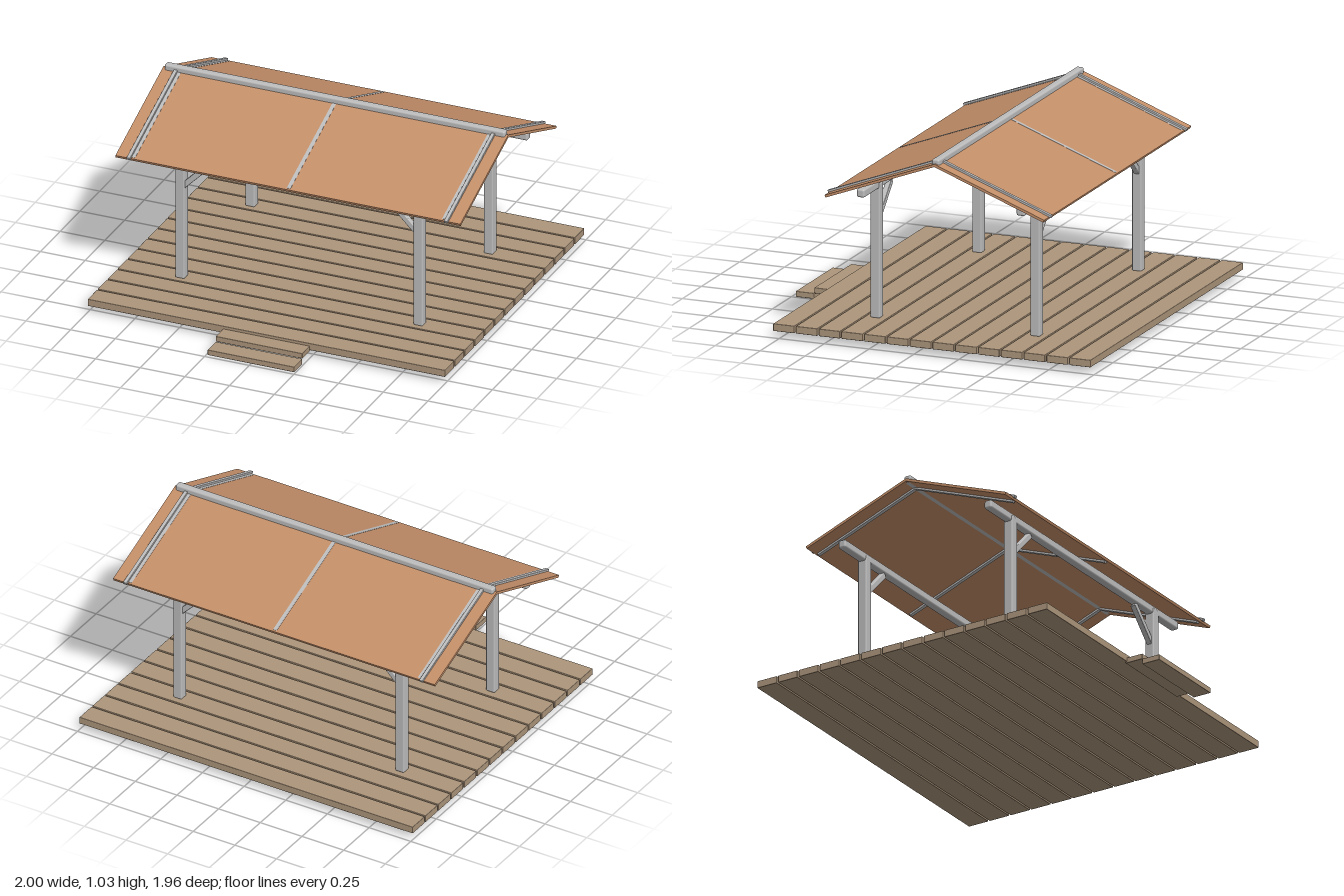
import * as THREE from 'three';
import { RoundedBoxGeometry } from 'three/addons/geometries/RoundedBoxGeometry.js';

const deckWood = new THREE.MeshStandardMaterial({ name: 'deckWood', color: 0xad967c });
const roofPanel = new THREE.MeshStandardMaterial({ name: 'roofPanel', color: 0xc48f69 });
const greyTimber = new THREE.MeshStandardMaterial({ name: 'greyTimber', color: 0xbdbdbd });

// Box with softened edges; plain box when r is 0
function block(parent, name, mat, size, pos, r = 0) {
  const geo = r ? new RoundedBoxGeometry(...size, 2, r) : new THREE.BoxGeometry(...size);
  const mesh = new THREE.Mesh(geo, mat);
  mesh.name = name;
  mesh.position.set(...pos);
  parent.add(mesh);
  return mesh;
}

const RIDGE_Z = -0.098;
const APEX_Y = 1.012;
const PITCH = Math.atan(0.378);

// One roof slope, built flat: y = 0 is the panel top, z runs from ridge to eave
function roofSlope(name) {
  const slope = new THREE.Group();
  slope.name = name;
  const length = 0.61 / Math.cos(PITCH);
  const layer = (part, mat, x, width, top, bottom, end, r) =>
    block(slope, part, mat, [width, top - bottom, end], [x, (top + bottom) / 2, end / 2], r);

  layer('panel', roofPanel, 0, 1.93, 0, -0.014, length);
  // Rafters show as thin lines through the panel and stand proud below
  for (const x of [-0.869, 0, 0.869]) layer('rafter', greyTimber, x, 0.021, 0.0012, -0.024, length - 0.01);
  // Raised battens near the gable ends
  for (const x of [-0.888, 0.888]) layer('batten', greyTimber, x, 0.021, 0.011, -0.004, length + 0.01, 0.003);
  return slope;
}

export function createModel() {
  const model = new THREE.Group();
  model.name = 'pavilion';

  // Deck planks
  const deck = new THREE.Group();
  deck.name = 'deck';
  for (let i = 0; i < 14; i++) {
    block(deck, 'plank', deckWood, [2, 0.039, 0.118], [0, 0.0565, 0.725 - i * 0.1267], 0.003);
  }
  model.add(deck);

  // Front steps
  block(model, 'lowerStep', deckWood, [0.485, 0.03, 0.103], [0, 0.015, 0.928], 0.003);
  block(model, 'upperStep', deckWood, [0.485, 0.03, 0.103], [0, 0.045, 0.825], 0.003);

  // Posts, braces and eave beams
  for (const z of [0.348, -0.541]) {
    for (const s of [-1, 1]) {
      block(model, 'post', greyTimber, [0.052, 0.72, 0.052], [s * 0.667, 0.434, z], 0.007);
      const brace = block(model, 'brace', greyTimber, [0.03, 0.23, 0.03], [s * 0.576, 0.678, z], 0.004);
      brace.rotation.z = s * Math.PI / 4;
    }
    block(model, 'eaveBeam', greyTimber, [1.77, 0.045, 0.045], [0, 0.786, z], 0.011);
  }

  // Roof slopes and ridge beam
  const front = roofSlope('frontRoof');
  front.rotation.x = PITCH;
  const back = roofSlope('backRoof');
  back.rotation.set(PITCH, Math.PI, 0, 'YXZ');
  for (const slope of [front, back]) {
    slope.position.set(0, APEX_Y, RIDGE_Z);
    model.add(slope);
  }
  block(model, 'ridgeBeam', greyTimber, [1.905, 0.042, 0.042], [0, 1.013, RIDGE_Z], 0.011);

  return model;
}
